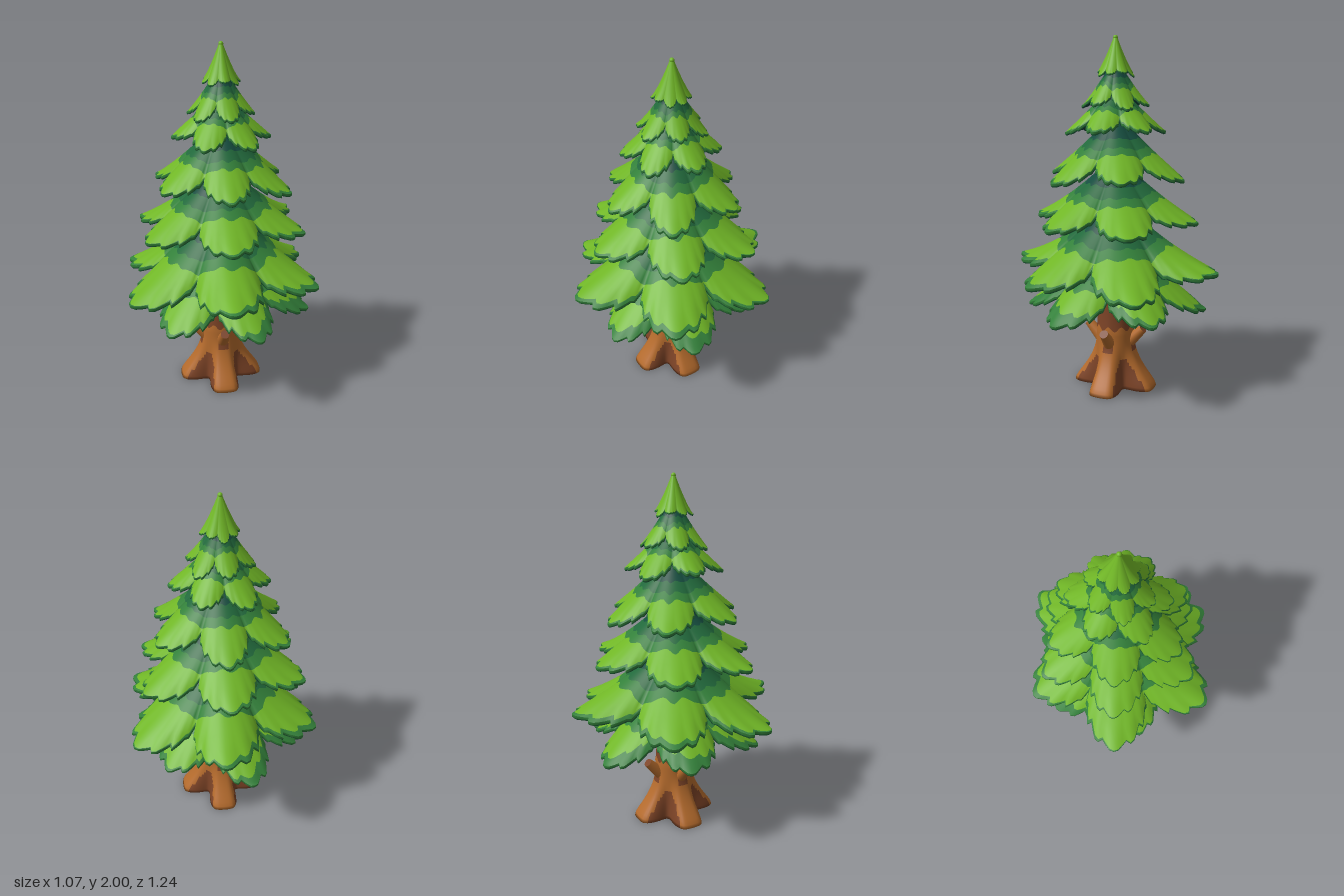
import * as THREE from 'three';

const mat = (name, color) => {
  const m = new THREE.MeshStandardMaterial({ color });
  m.name = name;
  return m;
};
const lerp = THREE.MathUtils.lerp;
const smooth = THREE.MathUtils.smoothstep;

// Smooth surface around the y axis: rows run down/outward, columns wrap.
// point(i, j) -> [angle, radius, y]; pick(i, j) -> material index of a cell.
function ringSurface(name, cols, rows, point, pick, materials) {
  const pos = [];
  for (let j = 0; j <= rows; j++)
    for (let i = 0; i < cols; i++) {
      const [a, r, y] = point(i, j);
      pos.push(r * Math.sin(a), y, r * Math.cos(a));
    }
  const buckets = materials.map(() => []);
  for (let j = 0; j < rows; j++)
    for (let i = 0; i < cols; i++) {
      const a = j * cols + i, d = j * cols + ((i + 1) % cols);
      const b = a + cols, c = d + cols;
      buckets[pick(i, j)].push(a, b, c, a, c, d);
    }
  const geo = new THREE.BufferGeometry();
  geo.setAttribute('position', new THREE.Float32BufferAttribute(pos, 3));
  geo.setIndex(buckets.flat());
  let start = 0;
  buckets.forEach((list, k) => {
    if (list.length) geo.addGroup(start, list.length, k);
    start += list.length;
  });
  geo.computeVertexNormals();
  const mesh = new THREE.Mesh(geo, materials);
  mesh.name = name;
  return mesh;
}

// Half outline of one frond: [share of half width, share of length]
const TEETH = [[0, 1], [1, 0.985], [3, 0.9], [4, 0.93], [5, 0.905], [7, 0.78], [8, 0.81], [10, 0.68], [11, 0.66], [12, 0.55]];
function toothed(u) {
  const x = Math.abs(u) * 12;
  const k = Math.max(1, TEETH.findIndex((p) => p[0] >= x - 1e-6));
  const [x0, r0] = TEETH[k - 1], [x1, r1] = TEETH[k];
  return lerp(r0, r1, (x - x0) / (x1 - x0));
}

// One skirt of drooping fronds with colour bands, rim and underside
function makeTier(o, index, topColors, underColors) {
  const SUB = 24, cols = o.n * SUB, PER = 4, rows = PER * 5;
  const wobble = (k, s) => Math.sin(k * 2.4 + index * 1.7 + s);
  const direction = (k) => o.turn + (k / o.n) * Math.PI * 2 + 0.05 * wobble(k % o.n, 2);
  const column = (i) => {
    const k = Math.round(i / SUB), u = (i - k * SUB) / (SUB / 2), kk = k % o.n;
    const mid = 1 - u * u, main = direction(k);
    const a = lerp(main, direction((k + Math.sign(u) + o.n) % o.n)
      + Math.PI * 2 * Math.floor((k + Math.sign(u)) / o.n), Math.abs(u) / 2);
    const size = o.r * (1 + 0.03 * wobble(kk, 0) * mid);
    const lift = (0.01 * wobble(kk, 4) + o.tilt * Math.cos(2 * main)) * mid;
    return {
      a, u, mid, kk, lift,
      R: size * lerp(toothed(u), 1, o.soft),
      env: size * (1 - 0.42 * (1 - o.soft) * Math.pow(Math.abs(u), 1.3)),
    };
  };
  const height = (c, r) => {
    const s = Math.min(1, Math.max(0, (r - o.r0) / (o.r - o.r0)));
    return lerp(o.tip, o.top, Math.pow(1 - s, o.p)) + c.lift * s
      - o.sag * c.u * c.u * s - o.sag * 0.4 * Math.pow(r / c.R, 7) + o.sag * 0.3 * s;
  };
  // band limits follow the frond shape, so light lobes sit on dark valleys
  const limits = (c) => {
    const w = 0.025 * Math.sin(c.u * 9 + c.kk * 2) * c.mid;
    const fringe = 1 - o.fringe * (1 + 0.8 * Math.sin(c.kk * 2.1 + c.u * 2.5));
    const grow = (c.env / c.R) * (o.light + w + (0.9 - o.light) * Math.pow(Math.abs(c.u), 2.3));
    const b = Math.min(fringe - 0.01, grow);
    return [0, b * 0.5, b * 0.78, b, fringe, 1];
  };
  const group = new THREE.Group();
  group.name = 'foliageTier' + (index + 1);
  group.add(ringSurface('frondTops', cols, rows, (i, j) => {
    const c = column(i), L = limits(c), k = Math.min(4, Math.floor(j / PER));
    const r = lerp(o.r0, c.R, lerp(L[k], L[k + 1], (j - k * PER) / PER));
    return [c.a, r, height(c, r)];
  }, (i, j) => (o.plain ? 3 : Math.floor(j / PER)), topColors));

  // rim rolls under, then the thickening underside runs back to the trunk
  const back = [[1, 0], [1, 0.4], [0.985, 0.75], [0.95, 1], [0.75, 1], [0.5, 1], [0.25, 1], [0, 1]];
  const belly = 0.4 * (o.top - o.tip);
  group.add(ringSurface('frondUndersides', cols, back.length - 1, (i, j) => {
    const c = column(i), [t, d] = back[j];
    const r = lerp(o.r0, c.R, t);
    return [c.a, r, height(c, r) - o.thick * d - belly * Math.pow(1 - t, 1.5)];
  }, (i, j) => Math.min(2, j), underColors));
  return group;
}

export function createModel() {
  const tree = new THREE.Group();
  tree.name = 'pineTree';
  const leafLight = mat('leafLight', 0x70b626);
  const leafMid = mat('leafMid', 0x33803a);
  const leafDark = mat('leafDark', 0x22693c);
  const leafDeep = mat('leafDeep', 0x164d3f);
  const leafUnder = mat('leafUnder', 0x0d4036);
  const barkLight = mat('barkLight', 0xb36a2c);
  const barkDark = mat('barkDark', 0x7c4326);

  // Foliage tiers from bottom to top
  const tiers = [
    { n: 6, turn: 0.26, r: 0.51, r0: 0.07, tip: 0.495, top: 0.84, p: 1.1, sag: 0.06, thick: 0.03, light: 0.58, fringe: 0.09, tilt: 0, soft: 0.08 },
    { n: 6, turn: 0, r: 0.605, r0: 0.07, tip: 0.705, top: 1.06, p: 1.5, sag: 0.075, thick: 0.034, light: 0.5, fringe: 0.035, tilt: 0.04, soft: 0 },
    { n: 6, turn: 0.03, r: 0.495, r0: 0.06, tip: 0.995, top: 1.3, p: 1.4, sag: 0.055, thick: 0.03, light: 0.53, fringe: 0.025, tilt: 0, soft: 0.05 },
    { n: 6, turn: -0.03, r: 0.405, r0: 0.05, tip: 1.24, top: 1.54, p: 1.25, sag: 0.045, thick: 0.028, light: 0.53, fringe: 0.025, tilt: 0, soft: 0.05 },
    { n: 6, turn: Math.PI / 6, r: 0.275, r0: 0.04, tip: 1.495, top: 1.71, p: 1.15, sag: 0.035, thick: 0.026, light: 0.5, fringe: 0.025, tilt: 0, soft: 0.1 },
    { n: 6, turn: 0.2, r: 0.19, r0: 0.03, tip: 1.625, top: 1.84, p: 1.25, sag: 0.025, thick: 0.02, light: 0.48, fringe: 0.02, tilt: 0, soft: 0.1 },
    { n: 8, turn: 0.1, r: 0.105, r0: 0.009, tip: 1.795, top: 1.99, p: 1.3, sag: 0.012, thick: 0.014, light: 0.4, fringe: 0.02, tilt: 0, soft: 0.45, plain: true },
  ];
  const tops = [leafDeep, leafDark, leafMid, leafLight, leafMid];
  const unders = [leafMid, leafDark, leafUnder];
  tiers.forEach((o, k) => tree.add(makeTier(o, k, tops, unders)));

  // Dark core that closes the inside of the foliage
  const core = new THREE.Mesh(new THREE.CylinderGeometry(0.02, 0.105, 1.07, 24), leafUnder);
  core.name = 'foliageCore';
  core.position.y = 1.305;
  tree.add(core);

  // Rounded treetop
  const peak = new THREE.Mesh(new THREE.SphereGeometry(0.013, 16, 10), leafLight);
  peak.name = 'treetop';
  peak.position.y = 1.987;
  tree.add(peak);

  // Trunk with four flared roots, dark hollows and a dark upper bark
  const cols = 96;
  const ys = [0.78, 0.6, 0.45, 0.36];
  for (let y = 0.34; y > 0.001; y -= 0.02) ys.push(y);
  ys.push(0, 0);
  const offAxis = (a) => Math.abs(a / (Math.PI / 2) - Math.round(a / (Math.PI / 2))) * 2;
  tree.add(ringSurface('trunk', cols, ys.length - 1, (i, j) => {
    const a = (i / cols) * Math.PI * 2, y = ys[j], u = offAxis(a);
    if (j === ys.length - 1) return [a, 0, 0];
    const flare = Math.pow(1 - Math.min(1, (y * y) / (y + 0.04) / 0.27), 2);
    const lobe = 1 - smooth(u, 0.25, 0.95);
    const collar = 0.01 * smooth(0.38 - y, 0, 0.03);
    const edge = j === 3 ? 0.014 * Math.sin(a * 9) : 0;
    return [a, 0.1 + collar + flare * (0.012 + 0.122 * lobe), y + edge];
  }, (i, j) => {
    const u = offAxis(((i + 0.5) / cols) * Math.PI * 2), y = (ys[j] + ys[j + 1]) / 2;
    if (j < 3 || j === ys.length - 2) return 1;
    const hollow = y < 0.18 && u > 0.44 + 0.4 * Math.pow(y / 0.18, 3);
    const knot = y > 0.22 && y < 0.31 && u < 0.3;
    return hollow || knot ? 1 : 0;
  }, [barkLight, barkDark]));

  // Broken branch stubs on the four sides
  for (let k = 0; k < 4; k++) {
    const stub = new THREE.Group();
    stub.name = 'branchStub' + (k + 1);
    const from = new THREE.Vector3(0, 0.25, 0.07), to = new THREE.Vector3(0, 0.355, 0.172);
    const dir = to.clone().sub(from);
    const wood = new THREE.Mesh(
      new THREE.CylinderGeometry(0.025, 0.04, dir.length(), 16, 2),
      [barkLight, barkDark, barkDark]);
    wood.name = 'stubWood';
    wood.position.copy(from).add(to).multiplyScalar(0.5);
    wood.quaternion.setFromUnitVectors(new THREE.Vector3(0, 1, 0), dir.normalize());
    stub.add(wood);
    stub.rotation.y = (k * Math.PI) / 2;
    tree.add(stub);
  }
  return tree;
}
